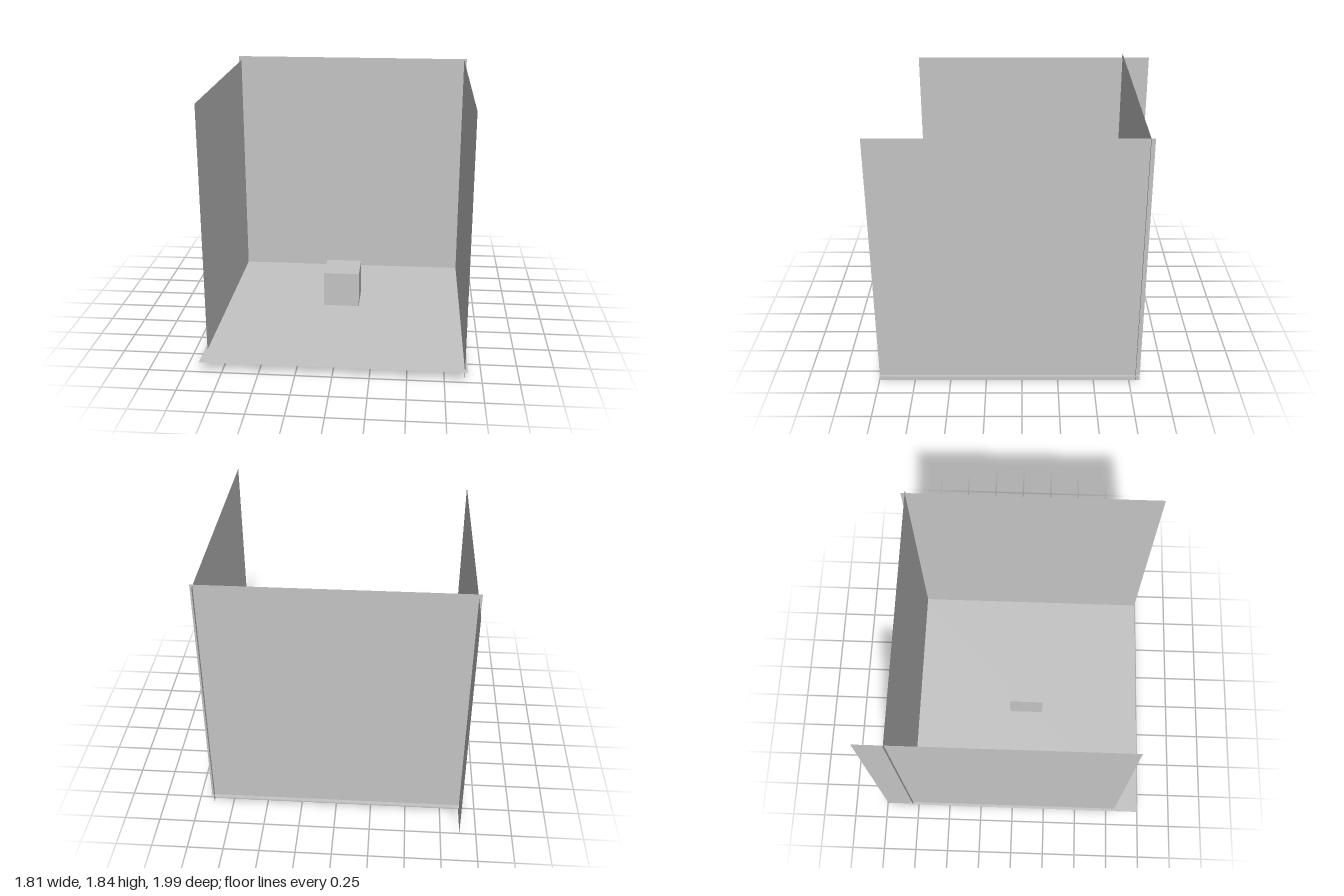
import * as THREE from 'three';

export function createModel() {
  const group = new THREE.Group();
  const grey = new THREE.MeshStandardMaterial({ color: 0xc4c4c4, side: THREE.DoubleSide });
  grey.name = 'plain grey';
  const size = 1.81;

  // Thin square sheet, turned about x or y and placed by its centre
  const sheet = (name, x, y, z, turnX = 0, turnY = 0) => {
    const mesh = new THREE.Mesh(new THREE.PlaneGeometry(size, size), grey);
    mesh.name = name;
    mesh.rotation.set(turnX, turnY, 0);
    mesh.position.set(x, y, z);
    group.add(mesh);
  };

  sheet('floor', 0, 0.07, 0.087, -Math.PI / 2);
  sheet('backWall', 0, 0.938, -0.79);
  // The left wall stands slightly further forward and higher than the right one
  sheet('leftWall', 0.885, 0.932, 0.085, 0, -Math.PI / 2);
  sheet('rightWall', -0.885, 0.907, -0.093, 0, Math.PI / 2);

  // Cube hovering above the floor
  const cube = new THREE.Mesh(new THREE.BoxGeometry(0.258, 0.258, 0.258), grey);
  cube.name = 'cube';
  cube.position.set(0, 0.29, 0.087);
  group.add(cube);

  return group;
}
